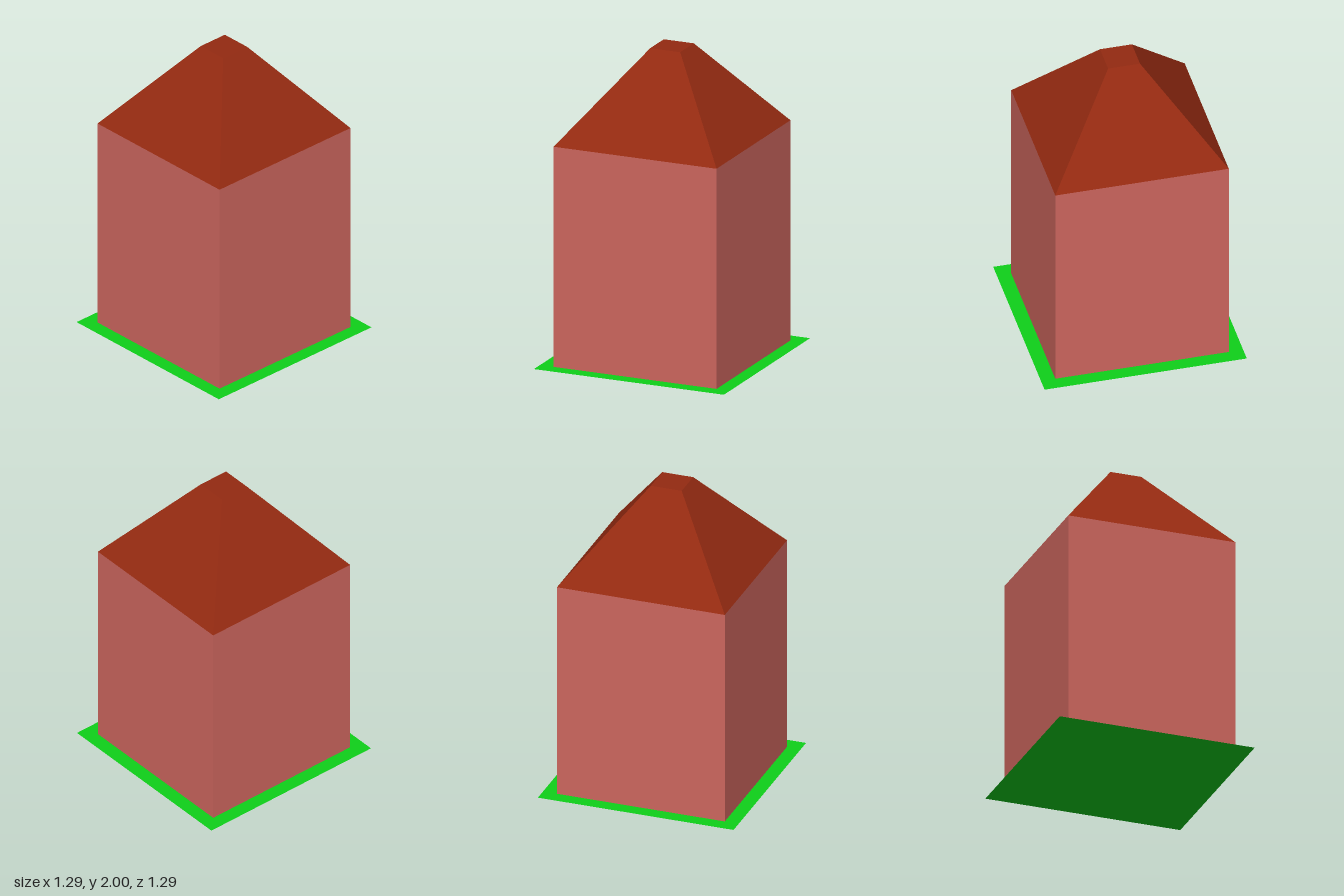
import * as THREE from 'three';

const HALF = 0.555;      // half width of the walls
const TOP_HALF = 0.102;  // half width of the flat roof top
const EAVES = 1.43;
const HEIGHT = 2;

// Square tower section: a four-sided cylinder turned so its faces meet the axes
function squareSection(name, bottomHalf, topHalf, y0, y1, color, open) {
  const geometry = new THREE.CylinderGeometry(
    topHalf * Math.SQRT2, bottomHalf * Math.SQRT2, y1 - y0, 4, 1, open);
  geometry.rotateY(Math.PI / 4);
  geometry.translate(0, (y0 + y1) / 2, 0);
  const mesh = new THREE.Mesh(geometry, new THREE.MeshStandardMaterial({
    color, flatShading: true, side: open ? THREE.DoubleSide : THREE.FrontSide,
  }));
  mesh.name = name;
  return mesh;
}

export function createModel() {
  const model = new THREE.Group();
  model.name = 'house';

  // Flat lawn, seen from both sides
  const lawn = new THREE.Mesh(
    new THREE.PlaneGeometry(1.294, 1.294).rotateX(-Math.PI / 2),
    new THREE.MeshStandardMaterial({ color: 0x0fd01a, side: THREE.DoubleSide }));
  lawn.name = 'lawn';
  model.add(lawn);

  // Walls stand open on the lawn; the truncated pyramid roof closes them
  model.add(squareSection('walls', HALF, HALF, 0, EAVES, 0xcd665e, true));
  model.add(squareSection('roof', HALF, TOP_HALF, EAVES, HEIGHT, 0x942a11, false));

  return model;
}
